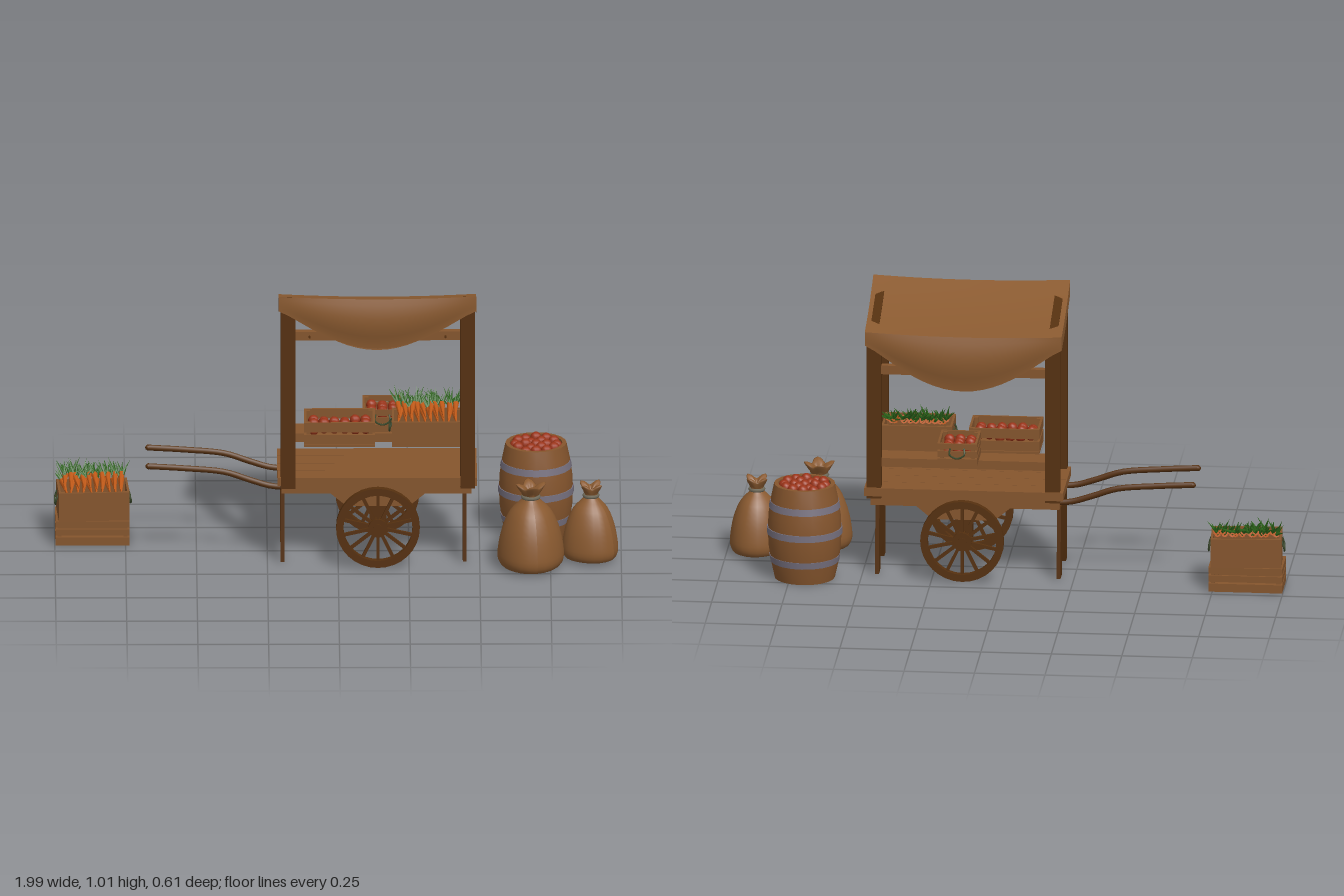
import * as THREE from 'three';
import { toCreasedNormals } from 'three/addons/utils/BufferGeometryUtils.js';

const mat = (name, color, side = THREE.FrontSide) => {
  const m = new THREE.MeshStandardMaterial({ color, side });
  m.name = name;
  return m;
};
const M = {
  wood: mat('mid wood', 0x85552d),
  dark: mat('dark wood', 0x55300f),
  cloth: mat('brown cloth', 0x8a5a30, THREE.DoubleSide),
  iron: mat('iron hoop', 0x77717f),
  rope: mat('grey rope', 0x6f6a5a),
  handle: mat('olive rope', 0x3c4a2c),
  carrot: mat('carrot orange', 0xc25a18),
  leaf: mat('leaf green', 0x2f6a1c),
  tomato: mat('tomato red', 0x9a3318),
};

let seed = 7;
const rnd = () => ((seed = (seed * 16807) % 2147483647) / 2147483647);

function add(parent, name, geo, material, x = 0, y = 0, z = 0) {
  const m = new THREE.Mesh(geo, material);
  m.name = name;
  m.position.set(x, y, z);
  parent.add(m);
  return m;
}
// box given by its limits on each axis
const slab = (p, name, m, x0, x1, y0, y1, z0, z1) =>
  add(p, name, new THREE.BoxGeometry(x1 - x0, y1 - y0, z1 - z0), m, (x0 + x1) / 2, (y0 + y1) / 2, (z0 + z1) / 2);

function group(parent, name, x = 0, y = 0, z = 0, ry = 0) {
  const g = new THREE.Group();
  g.name = name;
  g.position.set(x, y, z);
  g.rotation.y = ry;
  parent.add(g);
  return g;
}

// grid surface from a rule (u in -1..1, v in 0..1)
function sheet(rule, nu = 20, nv = 8) {
  const g = new THREE.PlaneGeometry(2, 1, nu, nv), p = g.attributes.position;
  for (let i = 0; i < p.count; i++) p.setXYZ(i, ...rule(p.getX(i), 0.5 - p.getY(i)));
  g.computeVertexNormals();
  return g;
}

function prism(points, depth) {
  const s = new THREE.Shape(points.map(([x, y]) => new THREE.Vector2(x, y)));
  return new THREE.ExtrudeGeometry(s, { depth, bevelEnabled: false }).translate(0, 0, -depth / 2);
}

const lathe = (pts, n) => toCreasedNormals(
  new THREE.LatheGeometry(pts.map(([r, y]) => new THREE.Vector2(r, y)), n), 0.6);

// crate with its base at y = 0; rows > 1 leaves gaps between the slats
function crate(parent, name, w, h, d, rows, x, y, z, ry = 0) {
  const g = group(parent, name, x, y, z, ry), t = 0.008, step = h / rows;
  const sh = rows > 1 ? step * 0.78 : h;
  slab(g, 'crateFloor', M.wood, -w / 2, w / 2, 0, t, -d / 2, d / 2);
  for (const s of [-1, 1]) {
    for (let i = 0; i < rows; i++) {
      const y0 = h - sh - i * step;
      add(g, 'crateLongSlat', new THREE.BoxGeometry(w, sh, t), M.wood, 0, y0 + sh / 2, s * (d / 2 - t / 2));
      add(g, 'crateEndSlat', new THREE.BoxGeometry(t, sh, d - 2 * t), M.wood, s * (w / 2 - t / 2), y0 + sh / 2, 0);
    }
    for (const q of [-1, 1])
      add(g, 'cratePost', new THREE.BoxGeometry(0.014, h - 0.004, 0.014), M.wood, s * (w / 2 - 0.015), h / 2, q * (d / 2 - 0.015));
  }
  return g;
}

// hanging rope loops on both ends
function ropeHandles(g, w, h) {
  for (const s of [-1, 1]) {
    const c = new THREE.CatmullRomCurve3([[0.024, 0.8], [0.026, 0.55], [0, 0.38], [-0.026, 0.55], [-0.024, 0.8]]
      .map(([z, y], i) => new THREE.Vector3(s * (w / 2 + (i % 4 ? 0.008 : 0)), y * h, z)));
    add(g, 'ropeHandle', new THREE.TubeGeometry(c, 14, 0.0035, 5), M.handle);
  }
}

// row of carrots, tips to +z, leaves at the back
function carrots(g, w, h) {
  const n = 10;
  for (let i = 0; i < n * 2; i++) {
    const row = Math.floor(i / n), x = ((i % n + 0.5) / n - 0.5) * (w - 0.03);
    const c = group(g, 'carrot', x, h + 0.002 + row * 0.014 - 0.006, 0.015 - row * 0.02, (rnd() - 0.5) * 0.3);
    c.rotation.x = 0.22;
    add(c, 'carrotRoot', new THREE.ConeGeometry(0.012, 0.11, 7).rotateX(Math.PI / 2), M.carrot);
    for (let k = 0; k < 5; k++) {
      const l = 0.045 + rnd() * 0.03;
      const leaf = add(c, 'carrotLeaf', new THREE.ConeGeometry(0.007, l, 4).translate(0, l / 2, 0), M.leaf, 0, 0, -0.052);
      leaf.rotation.set(-0.55 - rnd() * 0.9, 0, (rnd() - 0.5) * 1.1);
    }
  }
}

function tomatoes(g, w, d, y) {
  const nx = Math.floor(w / 0.034), nz = Math.floor(d / 0.034);
  for (let i = 0; i < nx; i++) for (let j = 0; j < nz; j++)
    add(g, 'tomato', new THREE.SphereGeometry(0.019, 9, 7), M.tomato,
      ((i + 0.5) / nx - 0.5) * w, y + rnd() * 0.012, ((j + 0.5) / nz - 0.5) * d);
}

function sack(parent, x, z, r, h, ry) {
  const g = group(parent, 'sack', x, 0.012, z, ry);
  const geo = new THREE.LatheGeometry(new THREE.SplineCurve([[0, 0], [0.75, 0.005], [0.97, 0.08], [0.98, 0.22], [0.86, 0.45],
    [0.62, 0.66], [0.3, 0.79], [0.22, 0.84], [0.3, 0.9], [0.38, 0.97], [0.2, 0.95], [0, 0.87]]
    .map(([a, b]) => new THREE.Vector2(a * r, b * h))).getPoints(33), 24);
  const p = geo.attributes.position;
  for (let i = 0; i < p.count; i++) {
    const a = Math.atan2(p.getZ(i), p.getX(i)), top = p.getY(i) > h * 0.84;
    const k = 1 + (top ? 0.22 * Math.cos(4 * a) : 0.04 * Math.cos(3 * a + 1));
    p.setXYZ(i, p.getX(i) * k, p.getY(i) + (top ? 0.008 * Math.cos(4 * a) : 0), p.getZ(i) * k);
  }
  geo.computeVertexNormals();
  add(g, 'sackBody', geo, M.cloth);
  add(g, 'sackTie', new THREE.TorusGeometry(r * 0.24, 0.007, 6, 16).rotateX(Math.PI / 2), M.rope, 0, h * 0.835, 0);
}

function wheel(parent, z) {
  const g = group(parent, 'wheel', 0.14, 0.158, z);
  const ring = (r0, r1, t) => lathe([[r0, -t], [r1, -t], [r1, t], [r0, t], [r0, -t]], 32).rotateX(Math.PI / 2);
  add(g, 'wheelRim', ring(0.122, 0.148, 0.012), M.dark);
  add(g, 'wheelHub', new THREE.CylinderGeometry(0.034, 0.034, 0.028, 16).rotateX(Math.PI / 2), M.dark);
  add(g, 'wheelCap', new THREE.CylinderGeometry(0.016, 0.016, 0.036, 12).rotateX(Math.PI / 2), M.dark);
  for (let i = 0; i < 14; i++)
    add(g, 'wheelSpoke', new THREE.BoxGeometry(0.011, 0.1, 0.011).translate(0, 0.078, 0), M.dark).rotation.z = i * Math.PI / 7;
}

function buildCart(root) {
  const g = group(root, 'cart');
  // bed and undercarriage
  for (let i = 0; i < 4; i++)
    slab(g, 'bedPlank', M.wood, -0.215, 0.49, 0.305, 0.335, -0.155 + i * 0.08, -0.0765 + i * 0.08);
  slab(g, 'bedApron', M.wood, -0.2, 0.47, 0.265, 0.305, -0.13, 0.13);
  add(g, 'axleBlock', prism([[-0.06, 0.305], [-0.03, 0.275], [0.03, 0.225], [0.25, 0.225], [0.31, 0.275], [0.34, 0.305]], 0.3), M.wood);
  add(g, 'axle', new THREE.CylinderGeometry(0.014, 0.014, 0.37, 10).rotateX(Math.PI / 2), M.dark, 0.14, 0.158, 0);
  slab(g, 'axleMount', M.dark, 0.11, 0.17, 0.14, 0.23, -0.13, -0.1);
  slab(g, 'axleMount', M.dark, 0.11, 0.17, 0.14, 0.23, 0.1, 0.13);
  for (const s of [-1, 1]) wheel(g, s * 0.185);
  // end leg panels with a notch at the foot
  const leg = [[-0.13, 0.01], [-0.08, 0.01], [-0.06, 0.08], [0.06, 0.08], [0.08, 0.01], [0.13, 0.01], [0.115, 0.27], [-0.115, 0.27]];
  for (const x of [-0.197, 0.447]) add(g, 'legPanel', prism(leg, 0.014).rotateY(Math.PI / 2), M.dark, x);
  // pull handles
  for (const z of [-0.095, 0.105]) {
    const c = new THREE.CatmullRomCurve3([[-0.67, 0.36], [-0.54, 0.352], [-0.4, 0.338], [-0.31, 0.308], [-0.23, 0.285], [-0.1, 0.285]]
      .map(([x, y]) => new THREE.Vector3(x, y, z)));
    add(g, 'pullHandle', new THREE.TubeGeometry(c, 24, 0.011, 8), M.dark);
    for (const [x, y] of [[-0.67, 0.36], [-0.1, 0.285]])
      add(g, 'handleEnd', new THREE.SphereGeometry(0.011, 8, 6), M.dark, x, y, z);
  }
  // posts, rails and roof frame
  for (const x of [-0.177, 0.457]) {
    slab(g, 'frontPost', M.dark, x - 0.026, x + 0.026, 0.295, 0.985, 0.131, 0.165);
    slab(g, 'backPost', M.dark, x - 0.026, x + 0.026, 0.295, 0.895, -0.149, -0.115);
    add(g, 'roofSideBeam', new THREE.BoxGeometry(0.03, 0.035, 0.32), M.dark, x, 0.937, 0.01).rotation.x = -0.303;
    for (const y of [0.37, 0.408]) slab(g, 'shelfBracket', M.dark, x - 0.015, x + 0.015, y - 0.011, y + 0.011, -0.115, -0.02);
  }
  slab(g, 'roofFrontBeam', M.dark, -0.2, 0.48, 0.955, 0.985, 0.135, 0.16);
  slab(g, 'roofBackBeam', M.dark, -0.2, 0.48, 0.86, 0.89, -0.145, -0.12);
  slab(g, 'backRail', M.wood, -0.185, 0.465, 0.753, 0.785, -0.14, -0.114);
  for (let i = 0; i < 5; i++)
    add(g, 'railPeg', new THREE.CylinderGeometry(0.004, 0.004, 0.014, 6).rotateX(Math.PI / 2), M.dark, -0.1 + i * 0.12, 0.768, -0.109);
  slab(g, 'shelf', M.wood, -0.175, 0.455, 0.406, 0.438, -0.125, -0.02);
  // cloth canopy
  const cx = 0.139, hw = 0.349, ease = (u) => Math.pow(Math.max(0, 1 - u * u), 1.3);
  const lerp = THREE.MathUtils.lerp, sag = (u) => 0.01 * (1 - u * u);
  add(g, 'canopyTop', sheet((u, v) => [cx + hw * u,
    lerp(1.02, 0.912, v) - sag(u) - 0.012 * Math.sin(Math.PI * v), lerp(0.182, -0.156, v)]), M.cloth);
  const flap = (name, y0, z0, s, d0, d1) => add(g, name, sheet((u, v) => [cx + hw * u,
    y0 - sag(u) - v * (d0 + d1 * ease(u)), z0 + s * (0.016 * ease(u) * Math.sin(Math.PI * Math.min(1, v * 1.1)))]), M.cloth);
  flap('canopyFrontFlap', 1.02, 0.182, 1, 0.055, 0.13);
  flap('canopyBackFlap', 0.912, -0.156, -1, 0.05, 0.15);
  for (const s of [-1, 1]) add(g, 'canopySideHem', sheet((u, v) => {
    const w = (u + 1) / 2;
    return [cx + s * hw, lerp(1.02, 0.912, w) - 0.012 * Math.sin(Math.PI * w) - 0.052 * v, lerp(0.182, -0.156, w)];
  }, 10, 2), M.cloth);
  // goods on the shelf
  const a = crate(g, 'carrotCrate', 0.25, 0.093, 0.158, 1, 0.315, 0.437, 0.047);
  ropeHandles(a, 0.25, 0.093);
  carrots(a, 0.25, 0.093);
  const b = crate(g, 'tomatoCrate', 0.25, 0.09, 0.158, 2, 0.005, 0.438, 0.047);
  tomatoes(b, 0.22, 0.13, 0.05);
  const c = crate(g, 'backCrate', 0.165, 0.083, 0.14, 3, 0.157, 0.437, -0.115, Math.PI / 2);
  ropeHandles(c, 0.165, 0.083);
  tomatoes(c, 0.14, 0.115, 0.05);
}

function buildBarrel(root) {
  const g = group(root, 'barrel', 0.7, 0, -0.167);
  add(g, 'barrelBody', lathe([[0, 0.006], [0.107, 0.006], [0.119, 0.06], [0.128, 0.12], [0.131, 0.18], [0.128, 0.24],
    [0.119, 0.3], [0.108, 0.352], [0.093, 0.352], [0.093, 0.325], [0, 0.325]], 20), M.wood);
  for (const [y, r0, r1] of [[0.08, 0.122, 0.126], [0.182, 0.134, 0.134], [0.277, 0.127, 0.123]])
    add(g, 'barrelHoop', new THREE.CylinderGeometry(r1, r0, 0.024, 20, 1), M.iron, 0, y, 0);
  for (const [n, r] of [[1, 0], [6, 0.037], [12, 0.073]]) for (let i = 0; i < n; i++) {
    const t = i / n * Math.PI * 2;
    add(g, 'tomato', new THREE.SphereGeometry(0.02, 9, 7), M.tomato, r * Math.cos(t), 0.337 + rnd() * 0.01, r * Math.sin(t));
  }
}

export function createModel() {
  const root = new THREE.Group();
  root.name = 'marketCart';
  buildCart(root);
  buildBarrel(root);
  sack(root, 0.68, 0.185, 0.118, 0.312, 0.2);
  sack(root, 0.893, 0.09, 0.1, 0.278, 0.9);
  // stacked crates on the ground
  crate(root, 'lowerCrate', 0.262, 0.09, 0.158, 3, -0.867, 0.006, -0.14);
  const top = crate(root, 'upperCrate', 0.25, 0.105, 0.158, 1, -0.865, 0.097, -0.14, 0.06);
  ropeHandles(top, 0.25, 0.105);
  carrots(top, 0.25, 0.105);
  return root;
}
